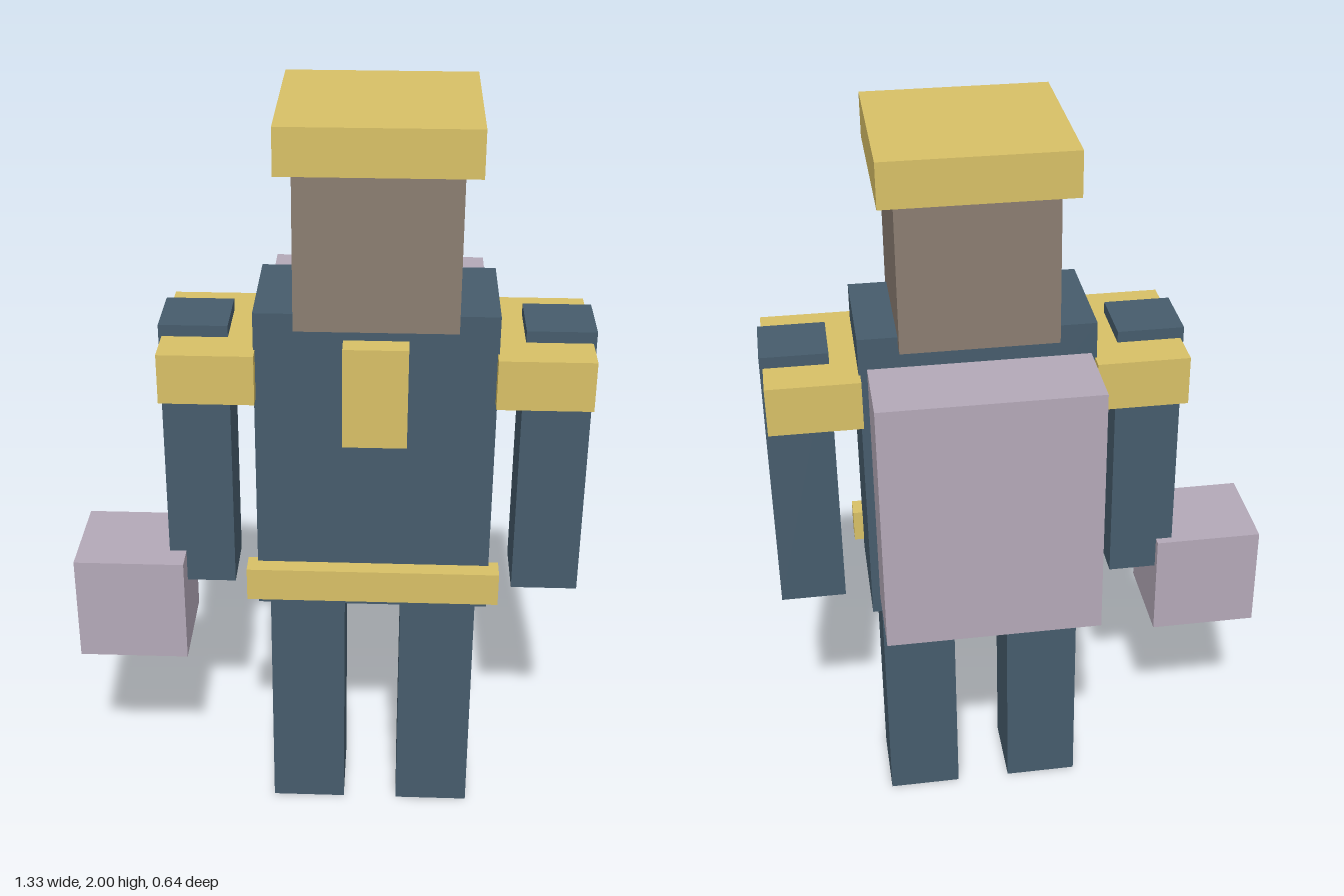
import * as THREE from 'three';

const paint = (color) => new THREE.MeshStandardMaterial({ color, flatShading: true });

export function createModel() {
  const model = new THREE.Group();
  model.name = 'blockFigure';

  const navy = paint(0x465c6c);
  const gold = paint(0xd8c066);
  const brown = paint(0x8b7d71);
  const lilac = paint(0xb4a9b8);

  // Box given by its extent [min, max] along each axis
  function block(name, material, x, y, z) {
    const size = [x, y, z].map(([a, b]) => b - a);
    const mesh = new THREE.Mesh(new THREE.BoxGeometry(...size), material);
    mesh.position.set(...[x, y, z].map(([a, b]) => (a + b) / 2));
    mesh.name = name;
    model.add(mesh);
  }

  // Body axis: the carried box shifts the figure off centre
  const cx = 0.12;
  const centred = (half) => [cx - half, cx + half];

  // Head and hat
  block('head', brown, centred(0.199), [1.49, 1.885], [-0.117, 0.283]);
  block('hat', gold, centred(0.239), [1.885, 2], [-0.16, 0.32]);

  // Torso with chest badge, belt and backpack
  block('torso', navy, centred(0.299), [0.692, 1.517], [-0.078, 0.24]);
  block('chestBadge', gold, centred(0.08), [1.187, 1.45], [0.225, 0.296]);
  block('belt', gold, centred(0.325), [0.728, 0.818], [0.223, 0.285]);
  block('backpack', lilac, centred(0.279), [0.762, 1.45], [-0.322, -0.108]);

  // Paired limbs and shoulder pads
  for (const [side, s] of [['left', 1], ['right', -1]]) {
    const span = (inner, outer) => [cx + s * inner, cx + s * outer].sort((a, b) => a - b);
    block(side + 'Leg', navy, span(0.074, 0.272), [0, 0.695], [-0.022, 0.188]);
    block(side + 'Arm', navy, span(0.367, 0.54), [0.708, 1.45], [-0.007, 0.167]);
    block(side + 'ShoulderPad', gold, span(0.295, 0.532), [1.29, 1.42], [-0.118, 0.28]);
  }

  // Box carried at the right hand
  block('carriedBox', lilac, [-0.665, -0.376], [0.507, 0.798], [-0.03, 0.239]);

  return model;
}
